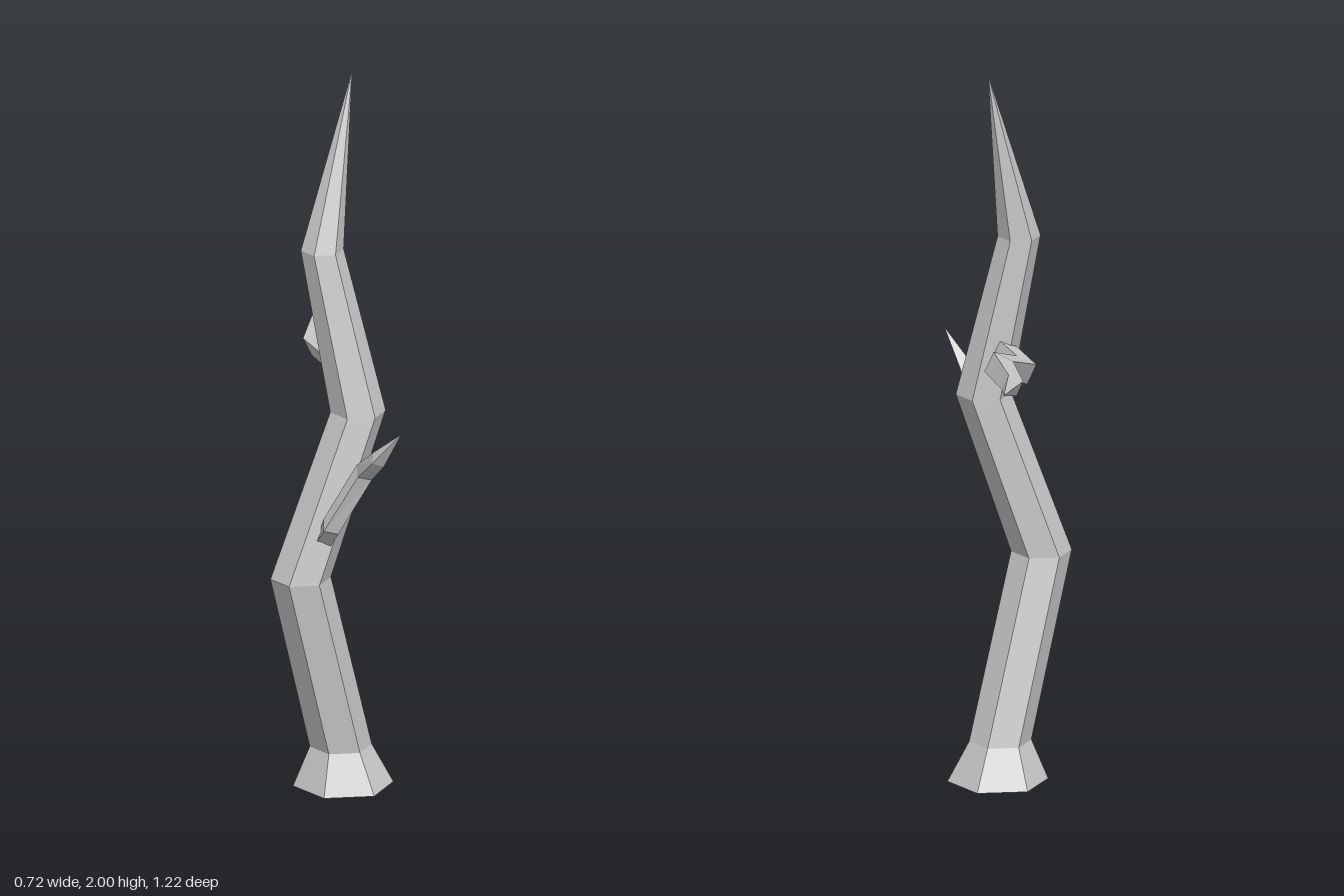
import * as THREE from 'three';

const UP = new THREE.Vector3(0, 1, 0);
const material = new THREE.MeshStandardMaterial({ color: 0xcccccc, flatShading: true });

// Sweeps a polygon along rings of [x, y, z, radius]; the last ring is the pointed tip.
// Level limbs keep every ring horizontal, others tilt rings to follow the path.
function limb(name, rings, { sides, phase = 0, level = false }) {
  const centres = rings.map(([x, y, z]) => new THREE.Vector3(x, y, z));
  const last = rings.length - 1;
  const loops = rings.map((ring, i) => {
    const u = new THREE.Vector3(0, 0, 1);
    const v = new THREE.Vector3(1, 0, 0);
    if (!level) {
      const t = new THREE.Vector3();
      if (i > 0) t.add(centres[i].clone().sub(centres[i - 1]).normalize());
      if (i < last) t.add(centres[i + 1].clone().sub(centres[i]).normalize());
      t.normalize();
      u.crossVectors(UP, t).normalize();
      v.crossVectors(t, u);
    }
    return Array.from({ length: sides }, (_, j) => {
      const a = phase + (j / sides) * Math.PI * 2;
      return centres[i].clone()
        .addScaledVector(u, Math.cos(a) * ring[3])
        .addScaledVector(v, Math.sin(a) * ring[3]);
    });
  });

  const points = [];
  for (let j = 0; j < sides; j++) {
    const k = (j + 1) % sides;
    points.push(centres[0], loops[0][k], loops[0][j]); // end cap
    for (let i = 0; i < last; i++) {
      const [a, b, c, d] = [loops[i][j], loops[i][k], loops[i + 1][k], loops[i + 1][j]];
      points.push(a, b, c);
      if (i < last - 1) points.push(a, c, d);
    }
  }
  const geometry = new THREE.BufferGeometry().setFromPoints(points);
  geometry.computeVertexNormals();
  const mesh = new THREE.Mesh(geometry, material);
  mesh.name = name;
  return mesh;
}

export function createModel() {
  const tree = new THREE.Group();
  tree.name = 'bareTree';

  // Crooked six-sided trunk with a flared foot
  tree.add(limb('trunk', [
    [0.045, 0, 0.265, 0.136],
    [0.04, 0.11, 0.27, 0.084],
    [-0.023, 0.615, 0.4, 0.082],
    [0.1, 1.07, 0.295, 0.075],
    [0.004, 1.52, 0.313, 0.058],
    [0.045, 2, 0.2, 0],
  ], { sides: 6, level: true }));

  // Long branch reaching backwards
  tree.add(limb('backBranch', [
    [0.03, 1.2, 0.27, 0.04],
    [-0.075, 1.198, 0.155, 0.041],
    [-0.105, 1.275, -0.067, 0.041],
    [-0.225, 1.288, -0.247, 0.031],
    [-0.36, 1.38, -0.61, 0],
  ], { sides: 4, phase: 0.35 }));

  // Short branch rising at the front left
  tree.add(limb('frontBranch', [
    [0.04, 0.725, 0.39, 0.028],
    [0.097, 0.8, 0.48, 0.029],
    [0.193, 0.965, 0.478, 0.029],
    [0.272, 1.04, 0.57, 0.024],
    [0.355, 1.135, 0.61, 0],
  ], { sides: 4, phase: 0.35 }));

  return tree;
}
